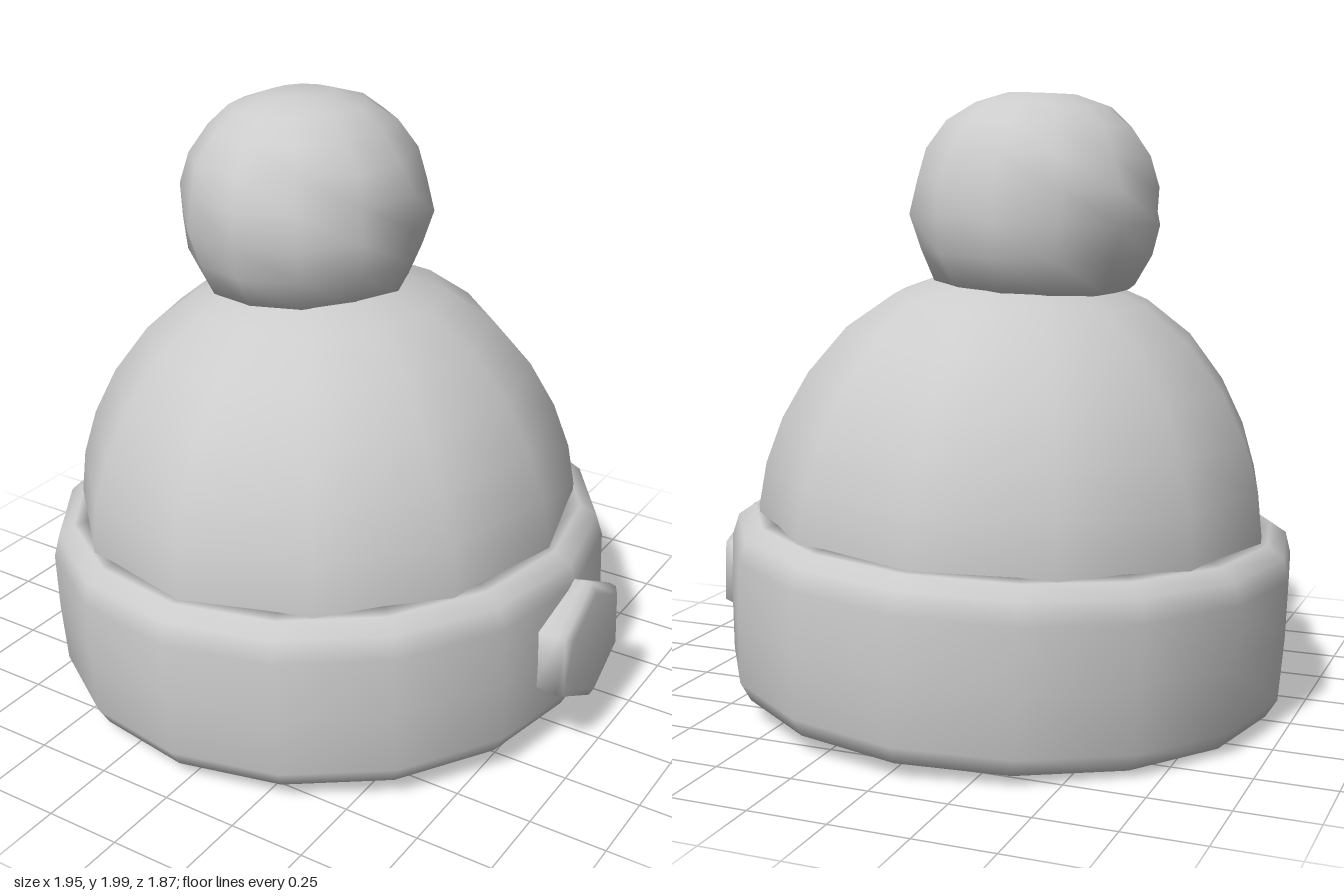
import * as THREE from 'three';
import { mergeVertices } from 'three/addons/utils/BufferGeometryUtils.js';

const wool = new THREE.MeshStandardMaterial({ color: 0xcccccc, side: THREE.DoubleSide });
wool.name = 'grey wool';

// Lathe with welded seam and smooth normals; an optional rule moves each vertex
function turned(name, profile, sides, rule) {
  let geo = new THREE.LatheGeometry(profile.map(([r, y]) => new THREE.Vector2(r, y)), sides);
  geo.deleteAttribute('uv');
  geo.deleteAttribute('normal');
  geo = mergeVertices(geo, 1e-4);
  if (rule) {
    const p = geo.attributes.position;
    const v = new THREE.Vector3();
    for (let i = 0; i < p.count; i++) {
      v.fromBufferAttribute(p, i);
      rule(v);
      p.setXYZ(i, v.x, v.y, v.z);
    }
  }
  geo.computeVertexNormals();
  const mesh = new THREE.Mesh(geo, wool);
  mesh.name = name;
  return mesh;
}

export function createModel() {
  const hat = new THREE.Group();
  hat.name = 'bobbleHat';

  // Folded brim: a closed ring, outside upward then inside downward
  hat.add(turned('brim', [
    [0.82, 0.0], [0.89, 0.015], [0.925, 0.075], [0.935, 0.28], [0.935, 0.47],
    [0.915, 0.54], [0.86, 0.575], [0.8, 0.585], [0.81, 0.3], [0.82, 0.0],
  ], 16));

  // Knitted crown, open underneath
  hat.add(turned('crown', [
    [0.835, 0.5], [0.84, 0.6], [0.82, 0.74], [0.77, 0.89], [0.69, 1.04],
    [0.57, 1.19], [0.42, 1.3], [0.22, 1.38], [0, 1.41],
  ], 12));

  // Lumpy pompom, flattened below
  const pompom = turned('pompom', [
    [0, 1.3], [0.2, 1.31], [0.33, 1.35], [0.38, 1.45], [0.405, 1.56], [0.395, 1.67],
    [0.365, 1.77], [0.3, 1.86], [0.22, 1.92], [0.11, 1.955], [0, 1.955],
  ], 12, (v) => {
    const a = Math.atan2(v.x, v.z);
    const lump = 1 + 0.022 * Math.sin(5 * a + v.y * 23) + 0.015 * Math.cos(3 * a - v.y * 41);
    v.x *= lump;
    v.z *= lump;
  });
  pompom.position.set(-0.045, 0, -0.01);
  hat.add(pompom);

  // Six-sided button on the left side of the brim
  const button = turned('button', [
    [0.2, 0], [0.21, 0.08], [0.205, 0.105], [0.175, 0.122], [0, 0.122],
  ], 6, (v) => { v.x *= 1.08; });
  const mount = new THREE.Group();
  mount.name = 'buttonMount';
  // Turn the button's axis to +x, with a corner pointing up
  mount.quaternion.setFromRotationMatrix(new THREE.Matrix4().makeBasis(
    new THREE.Vector3(0, 0, 1), new THREE.Vector3(1, 0, 0), new THREE.Vector3(0, 1, 0)));
  mount.position.set(0.885, 0.285, 0);
  mount.add(button);
  hat.add(mount);

  // The whole hat leans slightly to its right
  hat.rotation.z = 0.04;
  hat.position.set(-0.03, 0.04, 0);

  const model = new THREE.Group();
  model.name = 'hat';
  model.add(hat);
  return model;
}
